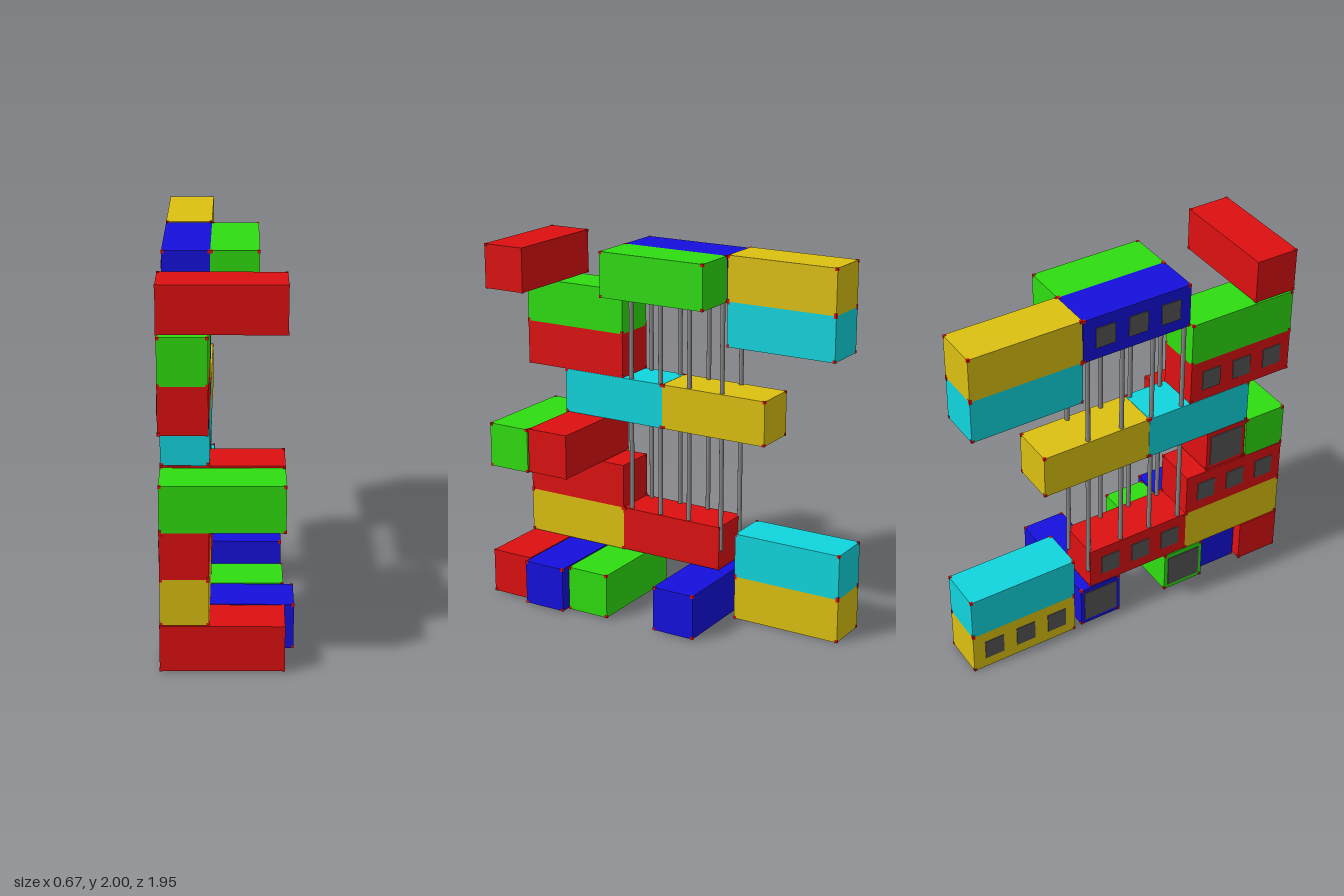
import * as THREE from 'three';

const mat = (color) => new THREE.MeshStandardMaterial({ color });
const COLORS = {
  red: mat(0xdd1010), green: mat(0x2fdd10), blue: mat(0x1510dd),
  yellow: mat(0xdbc010), cyan: mat(0x10d5dd),
};
const GLASS = mat(0x555555);
const STEEL = mat(0x888888);

// Name, colour, x range, y range, z range, window style on the -x face
const W0 = -0.333, W1 = -0.09, X1 = 0.285;
const CONTAINERS = [
  // ground level
  ['groundFrontRed', 'red', [-0.336, X1], [0.01, 0.255], [0.73, 0.976]],
  ['groundFrontBlue', 'blue', [-0.285, 0.335], [0.01, 0.255], [0.48, 0.723]],
  ['groundMiddleGreen', 'green', [W0, X1], [0.01, 0.255], [0.226, 0.471], 'end'],
  ['groundBackBlue', 'blue', [W0, X1], [0.01, 0.255], [-0.313, -0.069], 'end'],
  ['groundBackYellow', 'yellow', [W0, W1], [0.002, 0.245], [-0.973, -0.354], 'side'],
  ['backCyan', 'cyan', [W0, W1], [0.245, 0.49], [-0.973, -0.354]],
  // lower stack
  ['lowerFrontYellow', 'yellow', [W0, W1], [0.26, 0.505], [0.355, 0.975]],
  ['lowerMiddleRed', 'red', [W0, W1], [0.262, 0.506], [-0.255, 0.355], 'side'],
  ['secondRed', 'red', [W0, W1], [0.505, 0.751], [0.355, 0.975], 'side'],
  ['thirdGreen', 'green', [W0, X1], [0.753, 0.997], [0.73, 0.976]],
  ['thirdRed', 'red', [W0, X1], [0.76, 1.004], [0.476, 0.721], 'end'],
  // middle bridge
  ['bridgeCyan', 'cyan', [W0, W1], [1.007, 1.252], [0.105, 0.728]],
  ['bridgeYellow', 'yellow', [W0, W1], [1.007, 1.252], [-0.52, 0.103]],
  // upper stack
  ['upperRed', 'red', [W0, W1], [1.253, 1.496], [0.355, 0.975], 'side'],
  ['upperGreen', 'green', [W0, W1], [1.496, 1.738], [0.355, 0.975]],
  ['topFrontRed', 'red', [-0.336, X1], [1.75, 1.99], [0.735, 0.976]],
  ['topBlue', 'blue', [W0, W1], [1.75, 1.993], [-0.288, 0.333], 'side'],
  ['topGreen', 'green', [W1, 0.157], [1.75, 1.993], [-0.288, 0.333]],
  ['topBackYellow', 'yellow', [W0, W1], [1.755, 1.998], [-0.913, -0.292]],
  ['topBackCyan', 'cyan', [W0, W1], [1.514, 1.755], [-0.913, -0.292]],
];

function block(name, material, size, pos) {
  const mesh = new THREE.Mesh(new THREE.BoxGeometry(...size), material);
  mesh.name = name;
  mesh.position.set(...pos);
  return mesh;
}

function container([name, color, x, y, z, windows]) {
  const group = new THREE.Group();
  group.name = name;
  const mid = (r) => (r[0] + r[1]) / 2;
  const len = (r) => r[1] - r[0];
  group.add(block('body', COLORS[color], [len(x), len(y), len(z)], [mid(x), mid(y), mid(z)]));

  // small red fittings on the eight corners
  const inset = 0.006;
  for (const cx of [x[0] + inset, x[1] - inset])
    for (const cy of [y[0] + inset, y[1] - inset])
      for (const cz of [z[0] + inset, z[1] - inset])
        group.add(block('cornerFitting', COLORS.red, [0.015, 0.015, 0.015], [cx, cy, cz]));

  // three small windows on a long side, or one large pane on an end
  if (windows === 'side') {
    for (const offset of [0.125, 0.315, 0.505])
      group.add(block('window', GLASS, [0.01, 0.115, 0.11], [x[0], mid(y), z[0] + offset]));
  } else if (windows === 'end') {
    group.add(block('endWindow', GLASS, [0.01, 0.19, 0.2], [x[0], mid(y), mid(z)]));
  }
  return group;
}

export function createModel() {
  const model = new THREE.Group();
  model.name = 'containerTower';
  for (const spec of CONTAINERS) model.add(container(spec));

  // two rows of slender steel columns through the middle bridge
  const bottom = 0.37, top = 1.76;
  const pole = new THREE.CylinderGeometry(0.0125, 0.0125, top - bottom, 16);
  const columns = new THREE.Group();
  columns.name = 'columns';
  for (const x of [-0.315, -0.11]) {
    for (const z of [0.31, 0.125, -0.055, -0.255]) {
      const column = new THREE.Mesh(pole, STEEL);
      column.name = 'column';
      column.position.set(x, (bottom + top) / 2, z);
      columns.add(column);
    }
  }
  model.add(columns);
  return model;
}
